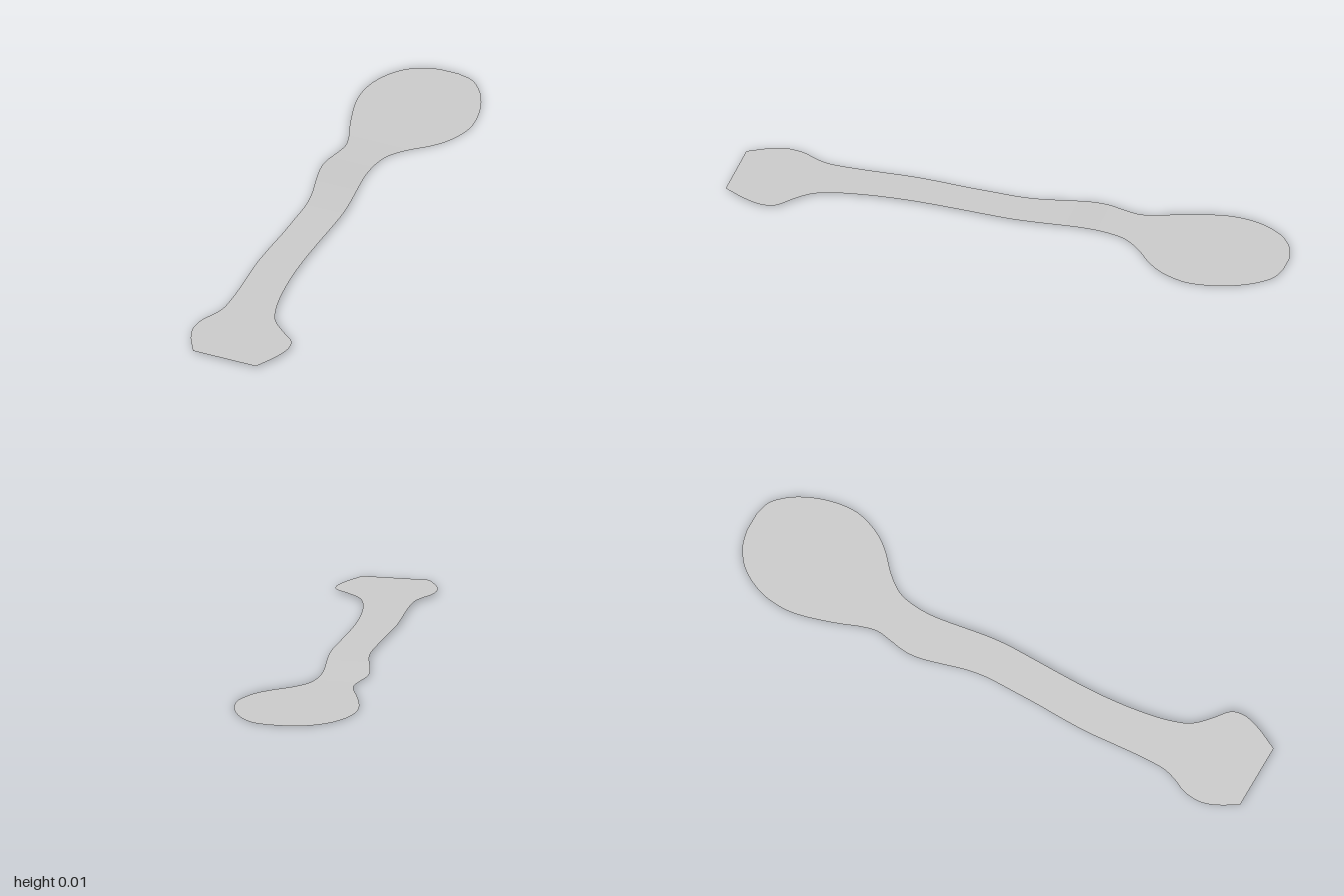
import * as THREE from 'three';

// Cross-sections from the rounded head to the flat foot: z, right edge x, left edge x
const SECTIONS = [
  [-1, -0.03, 0.04], [-0.985, -0.085, 0.095], [-0.95, -0.14, 0.135], [-0.9, -0.18, 0.17],
  [-0.83, -0.21, 0.2], [-0.75, -0.22, 0.217], [-0.68, -0.212, 0.215], [-0.6, -0.19, 0.185],
  [-0.54, -0.17, 0.14], [-0.48, -0.147, 0.075], [-0.42, -0.133, 0.03], [-0.36, -0.142, 0.014],
  [-0.3, -0.153, 0.01], [-0.24, -0.15, 0.014], [-0.16, -0.131, 0.025], [-0.08, -0.11, 0.036],
  [0, -0.099, 0.042], [0.1, -0.099, 0.041], [0.2, -0.1, 0.039], [0.3, -0.104, 0.038],
  [0.4, -0.105, 0.041], [0.5, -0.099, 0.05], [0.6, -0.093, 0.066], [0.68, -0.092, 0.09],
  [0.72, -0.097, 0.115], [0.76, -0.111, 0.157], [0.8, -0.13, 0.205], [0.84, -0.138, 0.218],
  [0.88, -0.137, 0.213], [0.93, -0.12, 0.195], [1, -0.08, 0.16],
];

// The head lies on the ground; the neck rises very slightly to the shaft and foot
const heightAt = (z) => 0.01 * THREE.MathUtils.smoothstep(z, -0.5, 0);

// Uniform splines over matching sections keep both edges at the same z
const edge = (side) => new THREE.CatmullRomCurve3(
  SECTIONS.map((s) => new THREE.Vector3(s[side], 0, s[0])), false, 'catmullrom', 0.5);

function sheetGeometry(rows = 120, cols = 4) {
  const right = edge(1), left = edge(2);
  const positions = [], index = [];
  for (let i = 0; i <= rows; i++) {
    const a = right.getPoint(i / rows), b = left.getPoint(i / rows);
    for (let j = 0; j <= cols; j++) {
      const p = a.clone().lerp(b, j / cols);
      positions.push(p.x, heightAt(p.z), p.z);
      if (i < rows && j < cols) {
        const k = i * (cols + 1) + j, n = k + cols + 1;
        index.push(k, n, k + 1, k + 1, n, n + 1);
      }
    }
  }
  const geometry = new THREE.BufferGeometry();
  geometry.setAttribute('position', new THREE.Float32BufferAttribute(positions, 3));
  geometry.setIndex(index);
  geometry.computeVertexNormals();
  return geometry;
}

export function createModel() {
  const group = new THREE.Group();
  group.name = 'flatPath';
  const material = new THREE.MeshStandardMaterial({ color: 0xcccccc, side: THREE.DoubleSide });
  const sheet = new THREE.Mesh(sheetGeometry(), material);
  sheet.name = 'pathSurface';
  group.add(sheet);
  return group;
}
